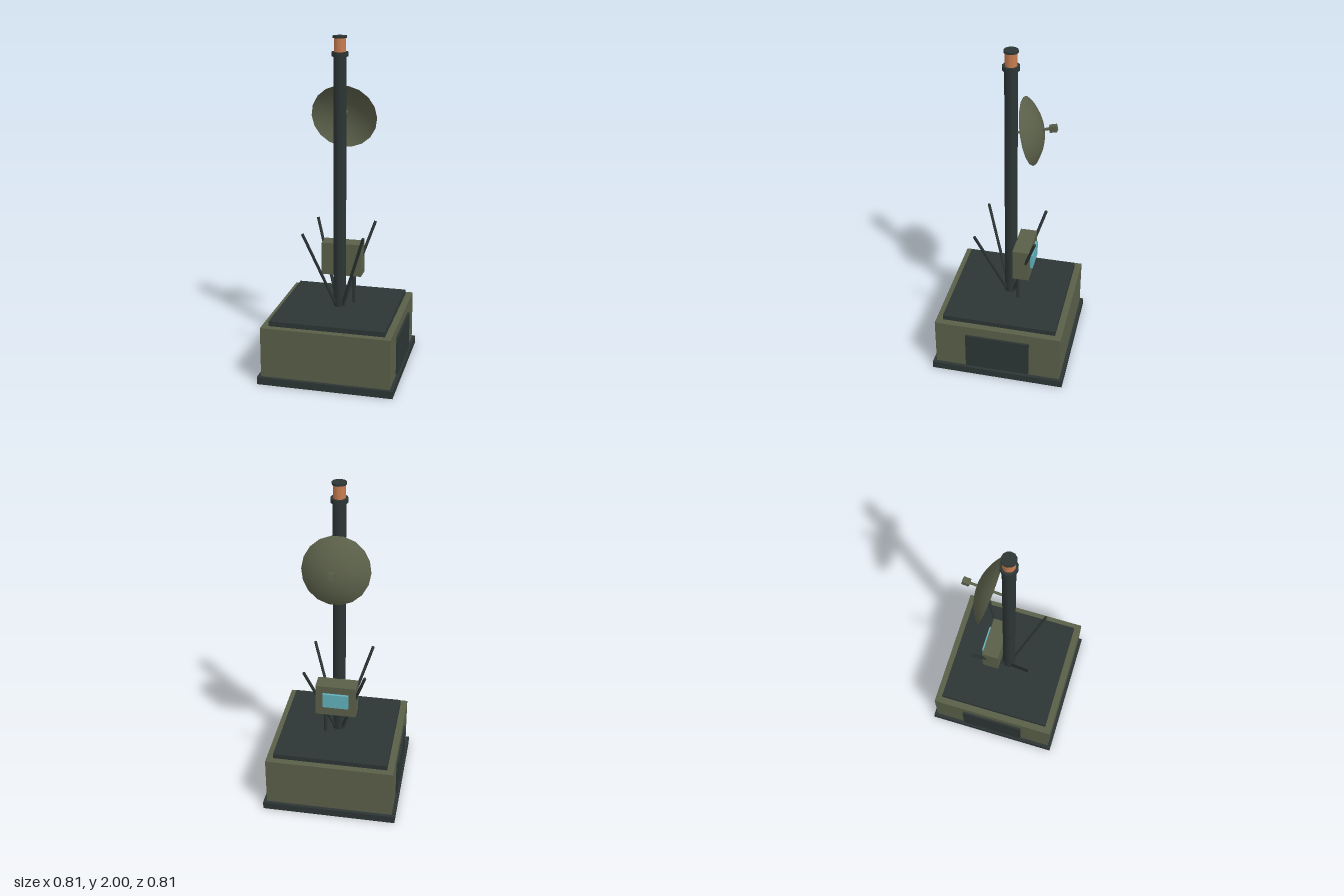
import * as THREE from 'three';

export function createModel() {
  const model = new THREE.Group();
  const mat = (name, color, extra = {}) => {
    const m = new THREE.MeshStandardMaterial({ color, ...extra });
    m.name = name;
    return m;
  };
  const dark = mat('dark slate', 0x2d3535);
  const olive = mat('olive', 0x5a5f49, { side: THREE.DoubleSide });
  const copper = mat('copper', 0xc87d50);
  const glass = mat('cyan glass', 0x62b0bc);

  const add = (name, geometry, material, x = 0, y = 0, z = 0, parent = model) => {
    const mesh = new THREE.Mesh(geometry, material);
    mesh.name = name;
    mesh.position.set(x, y, z);
    parent.add(mesh);
    return mesh;
  };
  // Box and upright cylinder given by bottom and top heights
  const slab = (name, material, w, d, y0, y1, x = 0, z = 0) =>
    add(name, new THREE.BoxGeometry(w, y1 - y0, d), material, x, (y0 + y1) / 2, z);
  const post = (name, material, r, y0, y1, x = 0, z = 0, sides = 12) =>
    add(name, new THREE.CylinderGeometry(r, r, y1 - y0, sides), material, x, (y0 + y1) / 2, z);

  // Base housing
  slab('basePlinth', dark, 0.81, 0.81, 0, 0.045);
  slab('baseBody', olive, 0.77, 0.77, 0.045, 0.35);
  slab('baseLid', dark, 0.69, 0.69, 0.35, 0.38);
  for (const s of [-1, 1]) slab('sidePanel', dark, 0.02, 0.39, 0.057, 0.29, s * 0.388);

  // Mast and its tip
  post('mast', dark, 0.0385, 0.38, 1.89);
  post('mastCollar', dark, 0.05, 1.885, 1.91);
  post('beacon', copper, 0.035, 1.91, 1.988);
  post('beaconCap', dark, 0.042, 1.988, 2);

  // Four splayed struts
  const up = new THREE.Vector3(0, 1, 0);
  for (const sx of [-1, 1]) for (const sz of [-1, 1]) {
    const a = new THREE.Vector3(sx * 0.017, 0.38, sz * 0.017);
    const b = new THREE.Vector3(sx * 0.18, 0.872, sz * 0.18);
    const dir = b.clone().sub(a);
    const strut = add('strut', new THREE.CylinderGeometry(0.009, 0.009, dir.length(), 8), dark);
    strut.position.copy(a).add(b).multiplyScalar(0.5);
    strut.quaternion.setFromUnitVectors(up, dir.normalize());
  }

  // Control box with screen and cable conduit
  slab('controlBox', olive, 0.244, 0.1, 0.558, 0.758, 0, -0.085);
  slab('screen', glass, 0.155, 0.015, 0.62, 0.712, 0, -0.1425);
  post('conduit', dark, 0.01, 0.38, 0.56, 0.075, -0.06, 8);

  // Tilted dish: local +y is the dish axis, pointing back and slightly up
  const dish = new THREE.Group();
  dish.name = 'dish';
  dish.position.set(0, 1.52, -0.107);
  dish.rotation.x = -THREE.MathUtils.degToRad(76);
  model.add(dish);
  const rim = 0.197, depth = 0.075;
  const R = (rim * rim + depth * depth) / (2 * depth);
  add('dishShell', new THREE.SphereGeometry(R, 18, 8, 0, Math.PI * 2, 0, Math.asin(rim / R)),
    olive, 0, depth - R, 0, dish);
  add('feedRod', new THREE.CylinderGeometry(0.008, 0.008, 0.2, 8), olive, 0, 0.03, 0, dish);
  add('feedHorn', new THREE.BoxGeometry(0.035, 0.042, 0.035), olive, 0, 0.137, 0, dish);

  return model;
}
